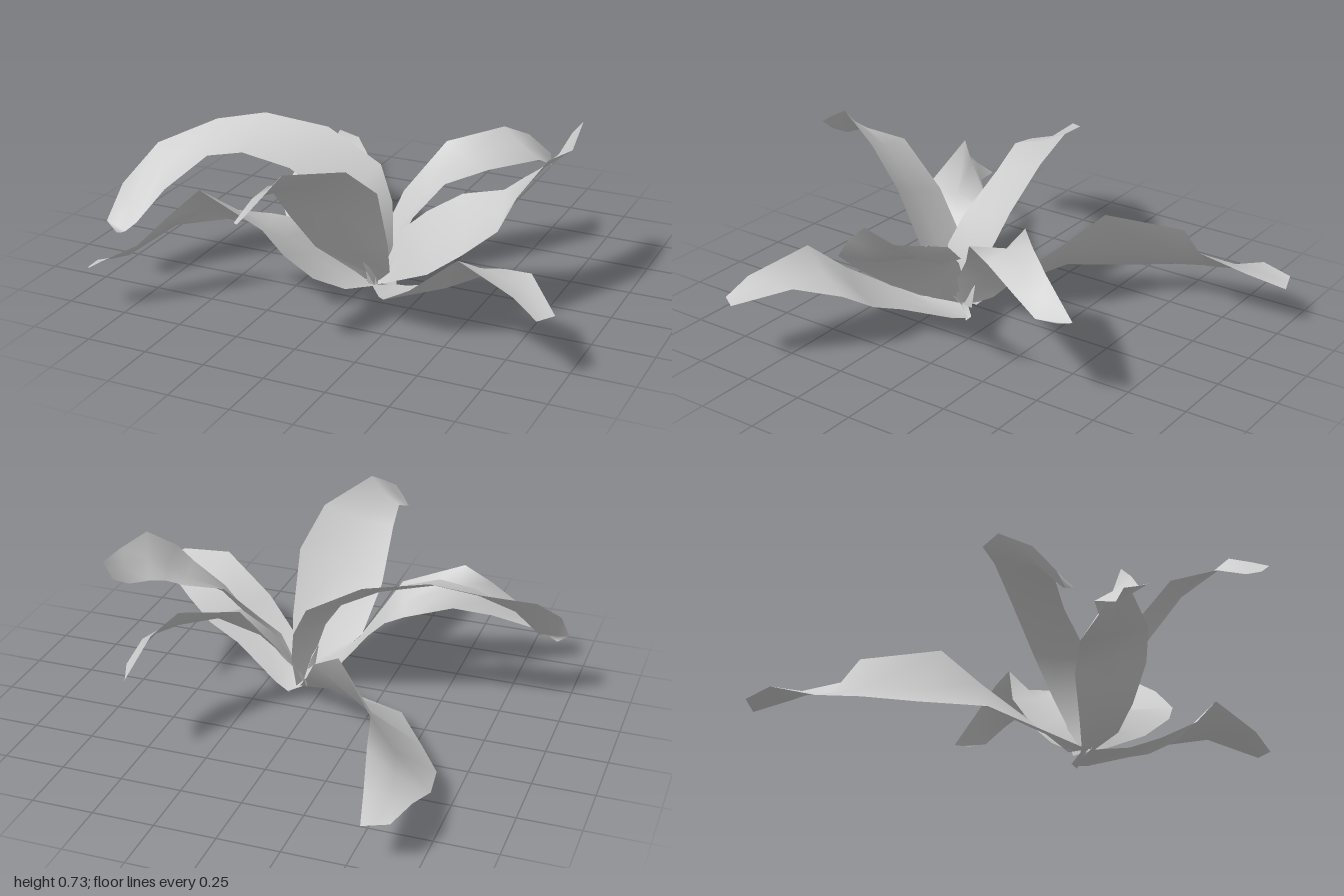
import * as THREE from 'three';

const leafGrey = new THREE.MeshStandardMaterial({ color: 0xcccccc, side: THREE.DoubleSide });
leafGrey.name = 'leafGrey';

// Each leaf runs from root to tip as cross-sections: [one edge xyz, other edge xyz].
const leaves = {
  frontLeaf: { cup: 0.07, rows: [
    [0.04, 0.04, 0.17, 0.09, 0.04, 0.15],
    [0.0, 0.1, 0.22, 0.13, 0.1, 0.17],
    [-0.13, 0.22, 0.31, 0.17, 0.27, 0.28],
    [-0.17, 0.4, 0.45, 0.18, 0.53, 0.4],
    [-0.16, 0.59, 0.63, 0.13, 0.67, 0.57],
    [-0.13, 0.61, 0.81, 0.0, 0.725, 0.82],
    [-0.14, 0.56, 0.93, -0.03, 0.67, 0.92],
    [-0.1, 0.58, 0.98, -0.06, 0.62, 1.0]] },
  frontLeftLeaf: { cup: 0.05, rows: [
    [0.06, 0.04, 0.19, 0.12, 0.01, 0.09],
    [0.15, 0.06, 0.32, 0.19, 0.03, 0.12],
    [0.22, 0.11, 0.43, 0.4, 0.13, 0.22],
    [0.37, 0.22, 0.53, 0.54, 0.19, 0.25],
    [0.57, 0.39, 0.55, 0.66, 0.27, 0.3],
    [0.82, 0.33, 0.64, 0.81, 0.33, 0.42],
    [0.92, 0.27, 0.67, 0.965, 0.27, 0.6]] },
  leftLeaf: { cup: 0.06, rows: [
    [0.08, 0.04, 0.18, 0.07, 0.07, 0.13],
    [0.2, 0.1, 0.22, 0.16, 0.27, 0.11],
    [0.35, 0.19, 0.31, 0.25, 0.35, 0.08],
    [0.51, 0.32, 0.36, 0.4, 0.45, 0.08],
    [0.64, 0.43, 0.33, 0.55, 0.47, 0.02],
    [0.68, 0.54, 0.24, 0.61, 0.51, -0.04],
    [0.75, 0.65, 0.1, 0.65, 0.53, -0.1],
    [0.79, 0.64, -0.07, 0.69, 0.56, -0.21],
    [0.76, 0.68, -0.29, 0.71, 0.62, -0.31]] },
  backLeftLeaf: { cup: 0.06, rows: [
    [0.05, 0.05, 0.1, 0.1, 0.05, 0.17],
    [0.02, 0.08, 0.04, 0.14, 0.17, 0.14],
    [0.0, 0.14, -0.02, 0.18, 0.3, 0.06],
    [0.05, 0.32, -0.15, 0.28, 0.43, -0.03],
    [0.2, 0.53, -0.24, 0.4, 0.45, -0.2],
    [0.39, 0.57, -0.4, 0.54, 0.44, -0.42],
    [0.46, 0.51, -0.51, 0.56, 0.38, -0.53],
    [0.51, 0.38, -0.66, 0.53, 0.37, -0.6]] },
  backRightLeaf: { cup: 0.12, rows: [
    [0.05, 0.04, 0.18, 0.07, 0.05, 0.09],
    [-0.15, 0.02, 0.15, 0.0, 0.16, -0.02],
    [-0.41, 0.08, -0.03, -0.1, 0.34, -0.22],
    [-0.56, 0.08, -0.25, -0.24, 0.45, -0.33],
    [-0.67, 0.09, -0.43, -0.45, 0.37, -0.58],
    [-0.7, 0.12, -0.62, -0.46, 0.28, -0.65],
    [-0.69, 0.2, -0.83, -0.51, 0.22, -0.84],
    [-0.65, 0.19, -0.97, -0.55, 0.18, -1.0]] },
  rightLeaf: { cup: 0.06, rows: [
    [0.07, 0.04, 0.19, 0.09, 0.04, 0.1],
    [0.06, 0.12, 0.24, 0.1, 0.18, 0.07],
    [0.02, 0.26, 0.27, 0.07, 0.33, 0.01],
    [-0.06, 0.38, 0.24, 0.0, 0.47, -0.03],
    [-0.28, 0.5, 0.23, -0.23, 0.6, -0.02],
    [-0.47, 0.55, 0.27, -0.49, 0.64, 0.03],
    [-0.62, 0.52, 0.29, -0.69, 0.6, 0.08],
    [-0.76, 0.39, 0.4, -0.88, 0.52, 0.24],
    [-0.85, 0.26, 0.48, -0.95, 0.39, 0.41],
    [-0.87, 0.24, 0.53, -0.97, 0.26, 0.51],
    [-0.89, 0.23, 0.53, -0.92, 0.22, 0.52]] },
  frontRightLeaf: { cup: 0.05, rows: [
    [0.07, 0.04, 0.2, 0.04, 0.05, 0.16],
    [0.01, 0.07, 0.33, -0.07, 0.12, 0.2],
    [-0.08, 0.14, 0.43, -0.18, 0.26, 0.23],
    [-0.16, 0.26, 0.52, -0.24, 0.31, 0.27],
    [-0.23, 0.37, 0.56, -0.31, 0.33, 0.31],
    [-0.5, 0.49, 0.56, -0.48, 0.33, 0.46],
    [-0.6, 0.39, 0.64, -0.64, 0.3, 0.51],
    [-0.7, 0.28, 0.71, -0.78, 0.2, 0.65],
    [-0.82, 0.22, 0.79, -0.88, 0.19, 0.72],
    [-0.87, 0.19, 0.8, -0.89, 0.18, 0.77]] },
  // Small sprouts at the root
  uprightSprout: { cup: 0, rows: [
    [0.08, 0.04, 0.18, 0.05, 0.04, 0.2],
    [0.06, 0.12, 0.19, 0.04, 0.12, 0.21],
    [0.03, 0.19, 0.2, 0.028, 0.19, 0.205]] },
  lowSprout: { cup: 0, rows: [
    [0.0, 0.05, 0.22, 0.0, 0.03, 0.18],
    [0.06, 0.06, 0.19, 0.05, 0.03, 0.15],
    [0.13, 0.0, 0.1, 0.12, 0.02, 0.08]] },
};

// Ribbon three vertices wide, its midrib sunk below the edges, most at half length.
function leafGeometry({ rows, cup }) {
  const positions = [], index = [];
  const last = rows.length - 1;
  const edges = rows.map(r => [new THREE.Vector3(...r.slice(0, 3)), new THREE.Vector3(...r.slice(3))]);
  const centres = edges.map(([a, b]) => a.clone().add(b).multiplyScalar(0.5));
  edges.forEach(([a, b], i) => {
    const along = centres[Math.min(i + 1, last)].clone().sub(centres[Math.max(i - 1, 0)]);
    const across = b.clone().sub(a);
    const normal = along.cross(across).normalize();
    if (normal.y < 0) normal.negate();
    const depth = cup * Math.sin(Math.PI * i / last) * across.length();
    const mid = centres[i].clone().addScaledVector(normal, -depth);
    for (const p of [a, mid, b]) positions.push(p.x, Math.max(0, p.y), p.z);
    if (i === 0) return;
    for (let k = 0; k < 2; k++) {
      const q = (i - 1) * 3 + k;
      index.push(q, q + 1, q + 3, q + 1, q + 4, q + 3);
    }
  });
  const geometry = new THREE.BufferGeometry();
  geometry.setAttribute('position', new THREE.Float32BufferAttribute(positions, 3));
  geometry.setIndex(index);
  geometry.computeVertexNormals();
  return geometry;
}

export function createModel() {
  const plant = new THREE.Group();
  plant.name = 'leafyPlant';
  for (const [name, leaf] of Object.entries(leaves)) {
    const mesh = new THREE.Mesh(leafGeometry(leaf), leafGrey);
    mesh.name = name;
    plant.add(mesh);
  }
  return plant;
}
